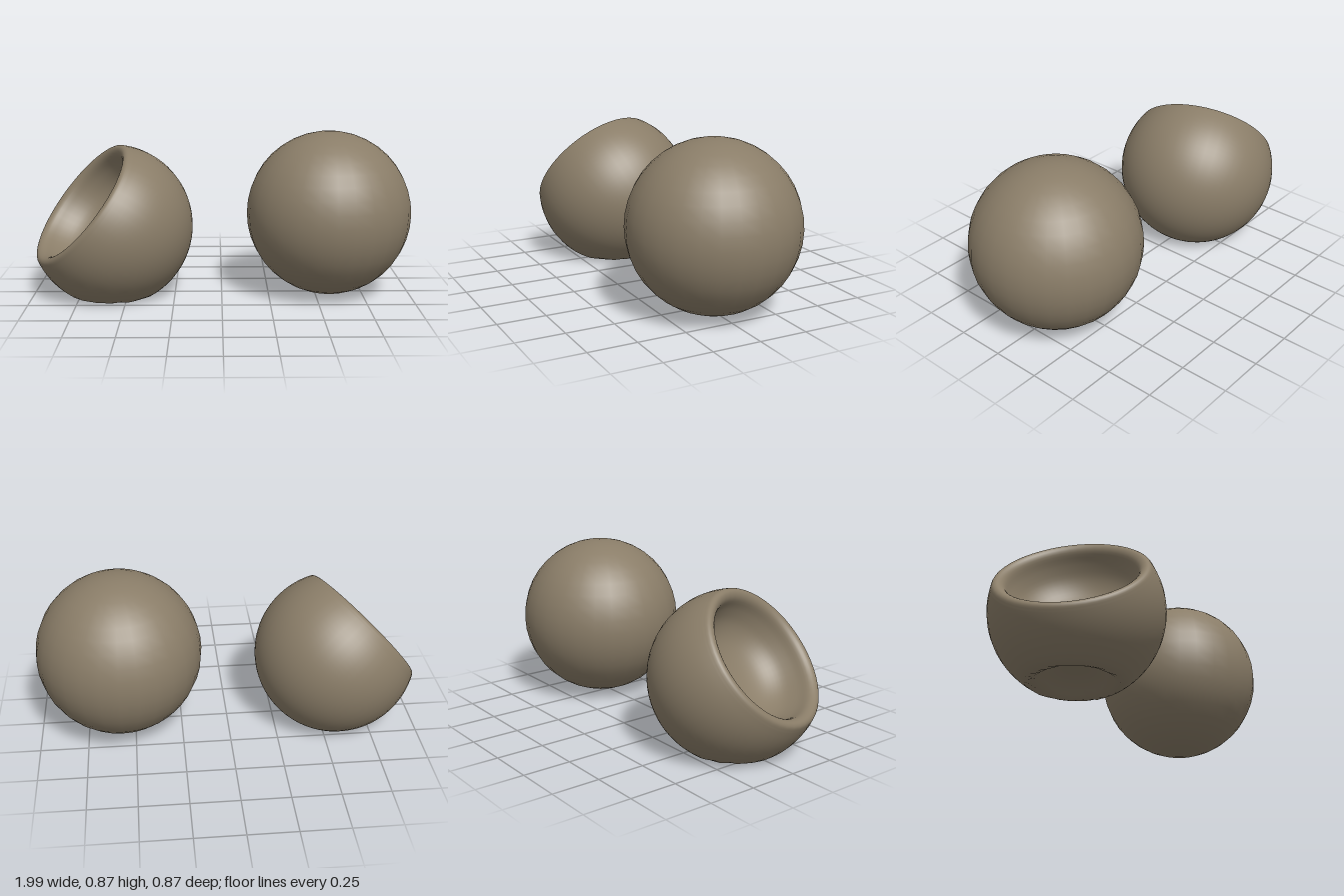
import * as THREE from 'three';
import { mergeVertices } from 'three/addons/utils/BufferGeometryUtils.js';

const RADIUS = 0.43;

// Closed cross-section of the hollowed ball: outer shell, broad rounded lip, cavity.
function bowlProfile() {
  const points = [];
  const rimAngle = Math.acos(0.18 / RADIUS);
  for (let i = 0; i <= 30; i++) {
    const a = Math.PI - (Math.PI - rimAngle) * (i / 30);
    points.push(new THREE.Vector2(Math.max(0, RADIUS * Math.sin(a)), RADIUS * Math.cos(a)));
  }
  const cavity = new THREE.SplineCurve([
    [0.39, 0.18], [0.375, 0.207], [0.35, 0.213], [0.322, 0.19], [0.302, 0.13],
    [0.265, 0.06], [0.2, 0.005], [0.11, -0.025], [0, -0.035],
  ].map(([r, h]) => new THREE.Vector2(r, h)));
  cavity.getPoints(32).slice(1).forEach((p) => points.push(new THREE.Vector2(Math.max(0, p.x), p.y)));
  return points;
}

function bowlGeometry() {
  let geometry = new THREE.LatheGeometry(bowlProfile(), 48);
  geometry.deleteAttribute('uv');
  geometry.deleteAttribute('normal');
  geometry = mergeVertices(geometry, 1e-4);

  // Tip the opening up, to the side and slightly forward.
  const opening = new THREE.Vector3(-0.74, 0.63, 0.27).normalize();
  geometry.applyQuaternion(new THREE.Quaternion().setFromUnitVectors(new THREE.Vector3(0, 1, 0), opening));
  geometry.translate(0, 0.37, 0);

  // Press the underside flat and push a shallow hollow into it.
  const position = geometry.attributes.position;
  for (let i = 0; i < position.count; i++) {
    if (position.getY(i) > 0.005) continue;
    const d = Math.min(1, Math.hypot(position.getX(i), position.getZ(i)) / 0.2);
    position.setY(i, 0.003 + 0.08 * (1 - d * d));
  }
  geometry.computeVertexNormals();
  return geometry;
}

export function createModel() {
  const model = new THREE.Group();
  const clay = new THREE.MeshStandardMaterial({ color: 0x8a7d68 });
  clay.name = 'clay';

  const ball = new THREE.Mesh(new THREE.SphereGeometry(0.433, 28, 20), clay);
  ball.name = 'ball';
  ball.position.set(0.567, 0.438, 0);

  const bowl = new THREE.Mesh(bowlGeometry(), clay);
  bowl.name = 'hollowedBall';
  bowl.position.set(-0.584, 0, 0);

  model.add(ball, bowl);
  return model;
}
